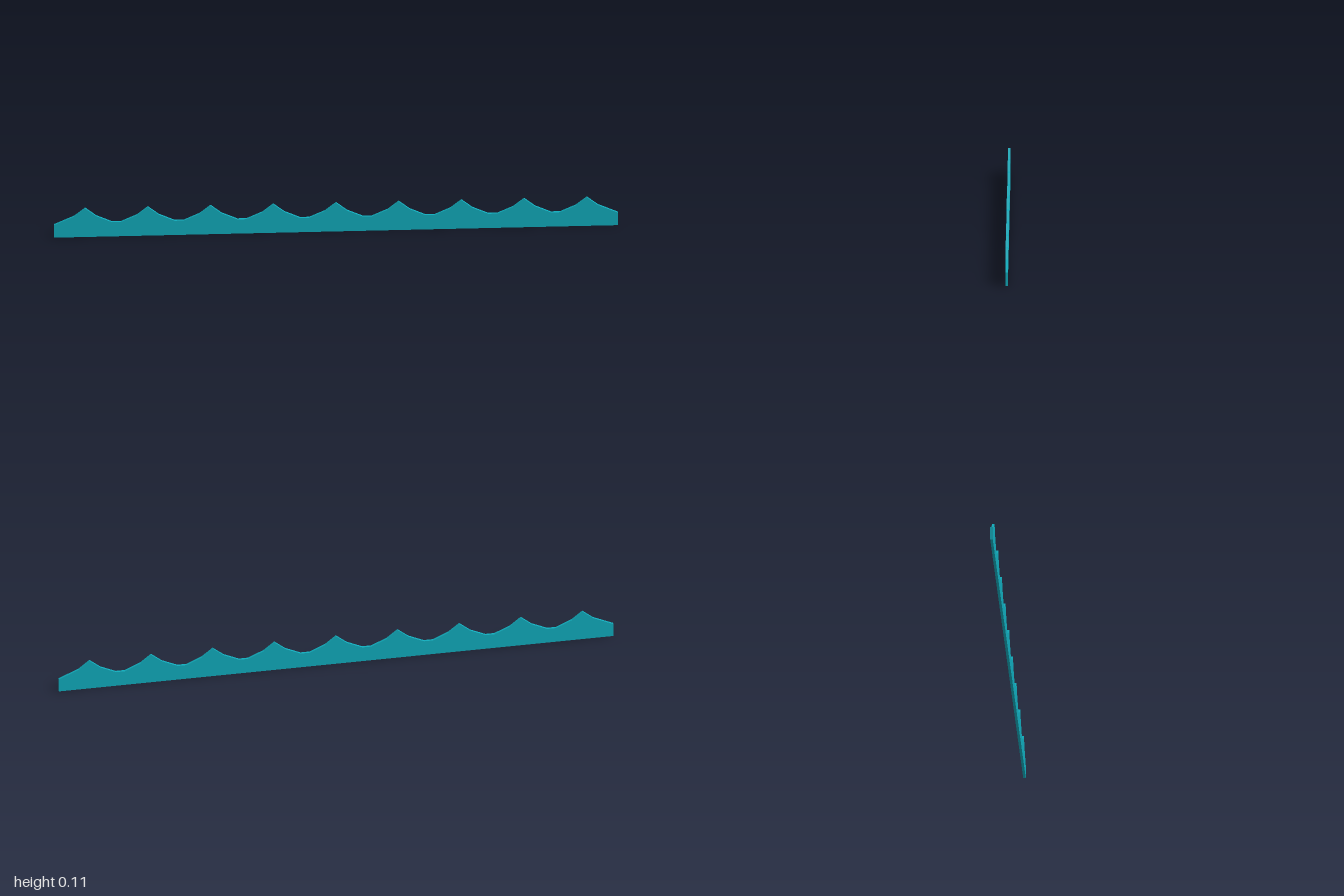
import * as THREE from 'three';

const PEAKS = 9;
const PITCH = 2 / PEAKS;
const THICKNESS = 0.009;

export function createModel() {
  const group = new THREE.Group();
  group.name = 'waveStrip';

  // Outline: straight base, then a row of pointed crests with flat troughs between
  const shape = new THREE.Shape();
  shape.moveTo(-1, 0);
  shape.lineTo(1, 0);
  shape.lineTo(1, 0.049);
  for (let i = PEAKS - 1; i >= 0; i--) {
    const x = -1 + (i + 0.5) * PITCH;
    if (i < PEAKS - 1) shape.lineTo(x + 0.095, 0.056);
    shape.lineTo(x + 0.039, 0.081);
    shape.lineTo(x, 0.112);
    shape.lineTo(x - 0.039, 0.081);
    if (i > 0) shape.lineTo(x - 0.095, 0.056);
  }
  shape.lineTo(-1, 0.049);
  shape.closePath();

  // Thin plate, centred in depth
  const geometry = new THREE.ExtrudeGeometry(shape, { depth: THICKNESS, bevelEnabled: false });
  geometry.translate(0, 0, -THICKNESS / 2);
  const strip = new THREE.Mesh(
    geometry,
    new THREE.MeshStandardMaterial({ color: 0x10a9b9, flatShading: true })
  );
  strip.name = 'crestedStrip';
  group.add(strip);
  return group;
}
